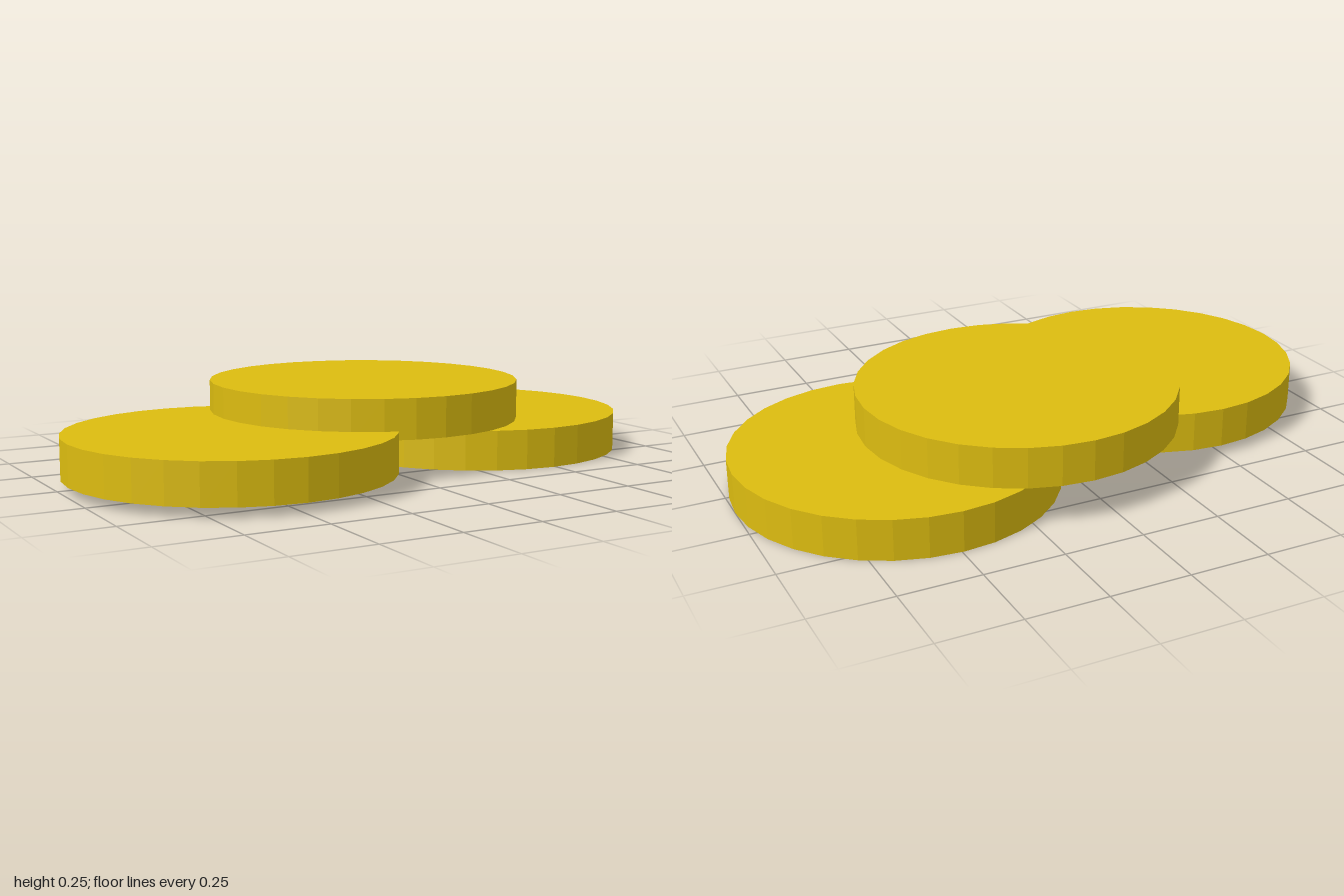
import * as THREE from 'three';

export function createModel() {
  const model = new THREE.Group();
  model.name = 'coinPile';

  const gold = new THREE.MeshStandardMaterial({ color: 0xdcbc10 });
  gold.name = 'gold';
  gold.flatShading = true;

  // One coin shape shared by the whole pile
  const radius = 0.506;
  const thickness = 0.126;
  const coin = new THREE.CylinderGeometry(radius, radius, thickness, 32);

  // name, x, underside height, z
  const coins = [
    ['lowerCoin', 0.494, 0, -0.106],
    ['middleCoin', -0.494, 0.03, 0.106],
    ['topCoin', 0.084, 0.129, -0.106],
  ];
  for (const [name, x, y, z] of coins) {
    const mesh = new THREE.Mesh(coin, gold);
    mesh.name = name;
    mesh.position.set(x, y + thickness / 2, z);
    model.add(mesh);
  }
  return model;
}
